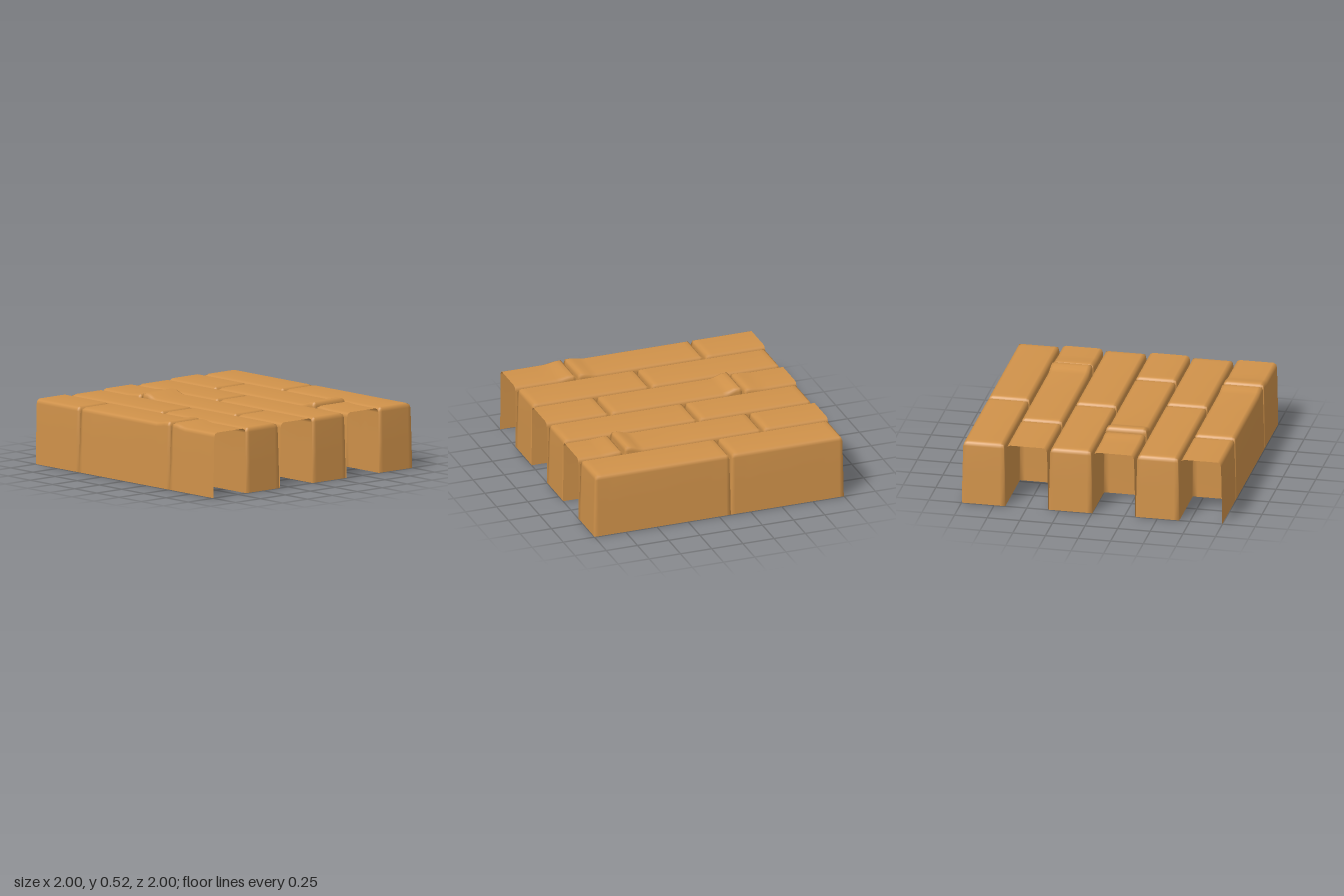
import * as THREE from 'three';
import { mergeVertices } from 'three/addons/utils/BufferGeometryUtils.js';

const clay = new THREE.MeshStandardMaterial({ color: 0xd0924a, side: THREE.DoubleSide });
clay.name = 'clay';

const HEIGHT = 0.495;
const LEVELS = [0, 0.24, 0.46, 0.485]; // heights of the wall rings
const INSETS = [0.002, 0.006, 0.011, 0.018]; // how far each ring leans inwards

// Hollow brick without a floor; ends lying on z = -1 or 1 may be open.
// backLift and frontLift swell the top near either end.
function brickGeometry(x0, x1, z0, z1, openBack, openFront, backLift, frontLift) {
  const w = x1 - x0;
  const xs = [x0, x0 + 0.04, x0 + w / 2, x1 - 0.04, x1];
  const steps = [0, 0.035, 0.07, 0.11, 0.16];
  const zs = [...steps.map((s) => z0 + s), (z0 + z1) / 2, ...steps.map((s) => z1 - s).reverse()];
  const nx = xs.length - 1, ny = LEVELS.length - 1, nz = zs.length - 1;

  let geo = new THREE.BoxGeometry(1, 1, 1, nx, ny, nz);
  const pos = geo.attributes.position;
  for (let i = 0; i < pos.count; i++) {
    const ix = Math.round((pos.getX(i) + 0.5) * nx);
    const iy = Math.round((pos.getY(i) + 0.5) * ny);
    const iz = Math.round((pos.getZ(i) + 0.5) * nz);
    const atSide = ix === 0 || ix === nx;
    const atBack = iz === 0 && !openBack;
    const atFront = iz === nz && !openFront;
    const inset = INSETS[iy];
    const x = xs[ix] + (ix === 0 ? inset : ix === nx ? -inset : 0);
    const z = zs[iz] + (atBack ? inset : atFront ? -inset : 0);
    let y = iy === ny && !atSide && !atBack && !atFront ? HEIGHT : LEVELS[iy];
    if (iy >= ny - 1) {
      const swell = (d) => 1 - THREE.MathUtils.smoothstep(d, 0.05, 0.16);
      y += backLift * swell(z - z0) + frontLift * swell(z1 - z);
    }
    pos.setXYZ(i, x, y, z);
  }

  // drop the floor and the open ends (face order: +x -x +y -y +z -z)
  const keep = [true, true, true, false, !openFront, !openBack];
  const old = Array.from(geo.index.array);
  const index = geo.groups.flatMap((g, f) => (keep[f] ? old.slice(g.start, g.start + g.count) : []));
  geo.setIndex(index);
  geo.clearGroups();
  geo.deleteAttribute('normal');
  geo.deleteAttribute('uv');
  geo = mergeVertices(geo, 1e-4);
  geo.computeVertexNormals();
  return geo;
}

// Joints along z for each column, with swelling [behind, in front of] a joint
const COLUMNS = [
  { joints: [-0.515, 0.505], open: true, lifts: [[0, 0], [0.018, 0.016]] },
  { joints: [0.045], open: false, lifts: [[0, 0]] },
  { joints: [-0.575, 0.495], open: true, lifts: [[0.01, 0.03], [0, 0]] },
  { joints: [-0.085], open: false, lifts: [[0, 0]] },
  { joints: [-0.475, 0.635], open: true, lifts: [[0, 0], [0.03, 0.008]] },
  { joints: [-0.095], open: false, lifts: [[0, 0]] },
];

export function createModel() {
  const model = new THREE.Group();
  model.name = 'brickPaving';
  COLUMNS.forEach(({ joints, open, lifts }, c) => {
    const column = new THREE.Group();
    column.name = `brickColumn${c + 1}`;
    const ends = [-1, ...joints, 1];
    for (let b = 0; b < ends.length - 1; b++) {
      const backLift = b > 0 ? lifts[b - 1][1] : 0;
      const frontLift = b < joints.length ? lifts[b][0] : 0;
      const geo = brickGeometry(
        -1 + c / 3, -1 + (c + 1) / 3, ends[b], ends[b + 1],
        open && b === 0, open && b === joints.length, backLift, frontLift
      );
      const brick = new THREE.Mesh(geo, clay);
      brick.name = `brick${b + 1}`;
      column.add(brick);
    }
    model.add(column);
  });
  return model;
}
